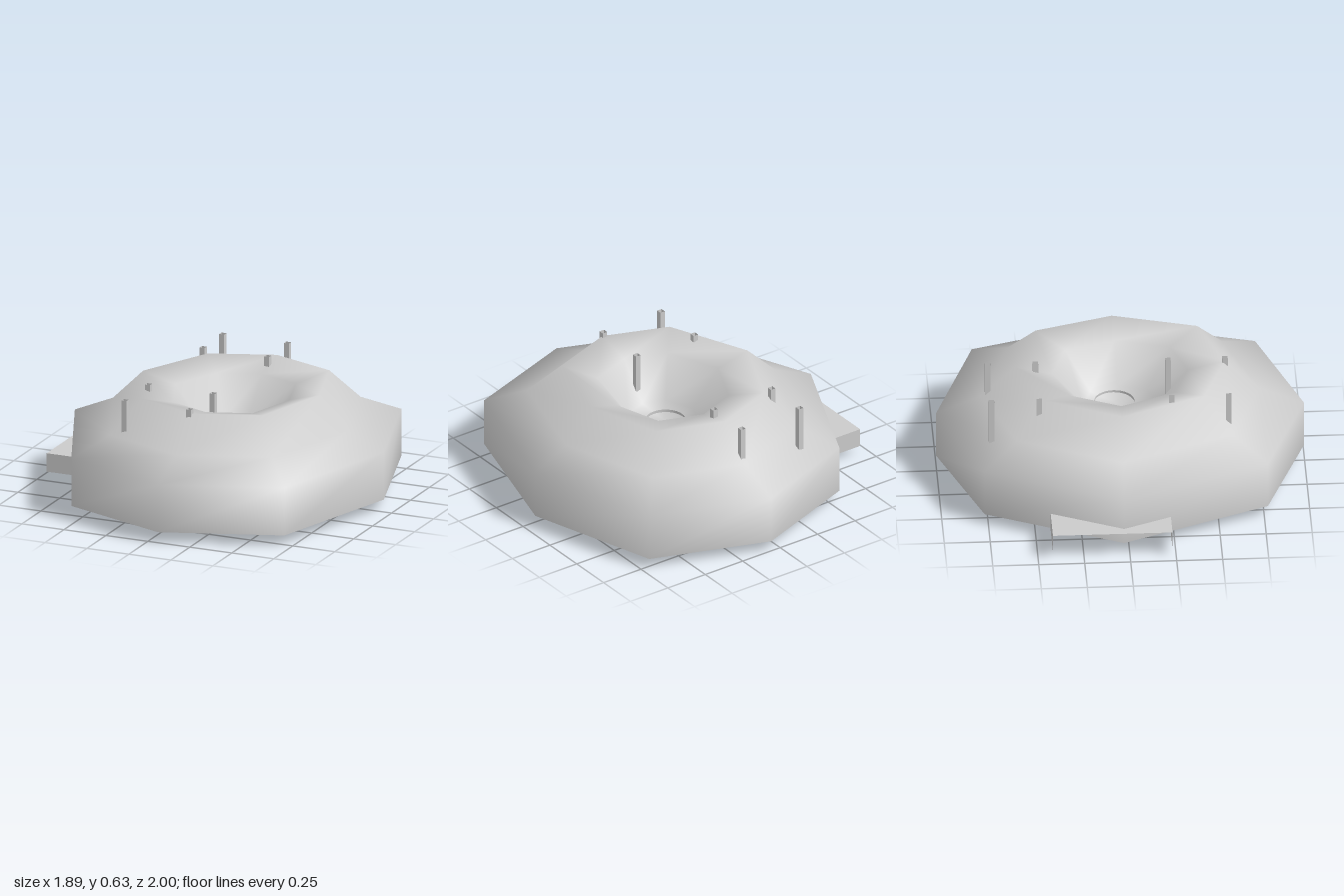
import * as THREE from 'three';

const CX = 0.06; // axis of the eight-sided body
// Footprint corners relative to the axis, as [x, z]
const FOOT = [[0.88, -0.03], [0.65, 0.77], [0, 1], [-0.62, 0.77],
  [-0.96, -0.03], [-0.62, -0.77], [0, -1], [0.65, -0.77]];

const grey = (opts = {}) => new THREE.MeshStandardMaterial({ color: 0xcccccc, ...opts });

function add(group, name, geometry, material, x = 0, y = 0, z = 0) {
  const mesh = new THREE.Mesh(geometry, material);
  mesh.name = name;
  mesh.position.set(x, y, z);
  group.add(mesh);
  return mesh;
}

// Skin of scaled footprints stacked as [scale, y], ending in a point at scale 0
function skin(profile) {
  const n = FOOT.length, pos = [], idx = [];
  for (const [k, y] of profile)
    for (const [x, z] of FOOT) pos.push(CX + x * k, y, z * k);
  for (let i = 0; i < profile.length - 1; i++)
    for (let j = 0; j < n; j++) {
      const a = i * n + j, b = i * n + (j + 1) % n;
      idx.push(a, a + n, b);
      if (profile[i + 1][0] > 0) idx.push(b, a + n, b + n);
    }
  // The last, collapsed ring shares one vertex so that normals stay smooth
  const tip = (profile.length - 1) * n;
  const merged = idx.map(v => (profile.at(-1)[0] === 0 && v >= tip ? tip : v));
  const g = new THREE.BufferGeometry();
  g.setAttribute('position', new THREE.Float32BufferAttribute(pos, 3));
  g.setIndex(merged);
  g.computeVertexNormals();
  return g;
}

export function createModel() {
  const model = new THREE.Group();
  model.name = 'craterMound';

  // Mound: wall, shoulder, rim and crater in one smooth skin
  add(model, 'moundShell', skin([[1, 0.06], [1, 0.33], [0.76, 0.43], [0.57, 0.61],
    [0.37, 0.56], [0.2, 0.36], [0, 0.35]]), grey());

  // Flat underside
  add(model, 'underside', skin([[0, 0.06], [1, 0.06]].reverse().map(([k, y]) => [k, y])),
    grey({ side: THREE.BackSide }));

  const thin = grey({ side: THREE.DoubleSide, flatShading: true });

  // Open pipe from the crater floor through the underside
  const pipeTop = 0.37, pipeBottom = 0.05;
  add(model, 'pipe', new THREE.CylinderGeometry(0.11, 0.11, pipeTop - pipeBottom, 32, 1, true),
    grey({ side: THREE.DoubleSide }), 0.07, (pipeTop + pipeBottom) / 2, -0.03);

  // Eight hollow square posts
  const post = new THREE.CylinderGeometry(0.021, 0.021, 0.635, 4, 1, true).rotateY(Math.PI / 4);
  for (const x of [-0.33, 0.055])
    for (const z of [-0.72, -0.46, 0.26, 0.57]) add(model, 'post', post, thin, x, 0.3175, z);

  // Side chute: top plate, two side plates and the inner end, open outward and below
  const chute = new THREE.Group();
  chute.name = 'chute';
  model.add(chute);
  const x0 = -0.95, x1 = -0.56, z0 = -0.42, z1 = 0.23, y0 = 0.045, y1 = 0.15;
  const w = x1 - x0, h = y1 - y0, d = z1 - z0;
  const xm = (x0 + x1) / 2, ym = (y0 + y1) / 2, zm = (z0 + z1) / 2;
  add(chute, 'chuteTop', new THREE.PlaneGeometry(w, d).rotateX(-Math.PI / 2), grey(), xm, y1, zm);
  for (const z of [z0, z1]) add(chute, 'chuteSide', new THREE.PlaneGeometry(w, h), thin, xm, ym, z);
  add(chute, 'chuteEnd', new THREE.PlaneGeometry(d, h).rotateY(Math.PI / 2), thin, x1, ym, zm);

  return model;
}
